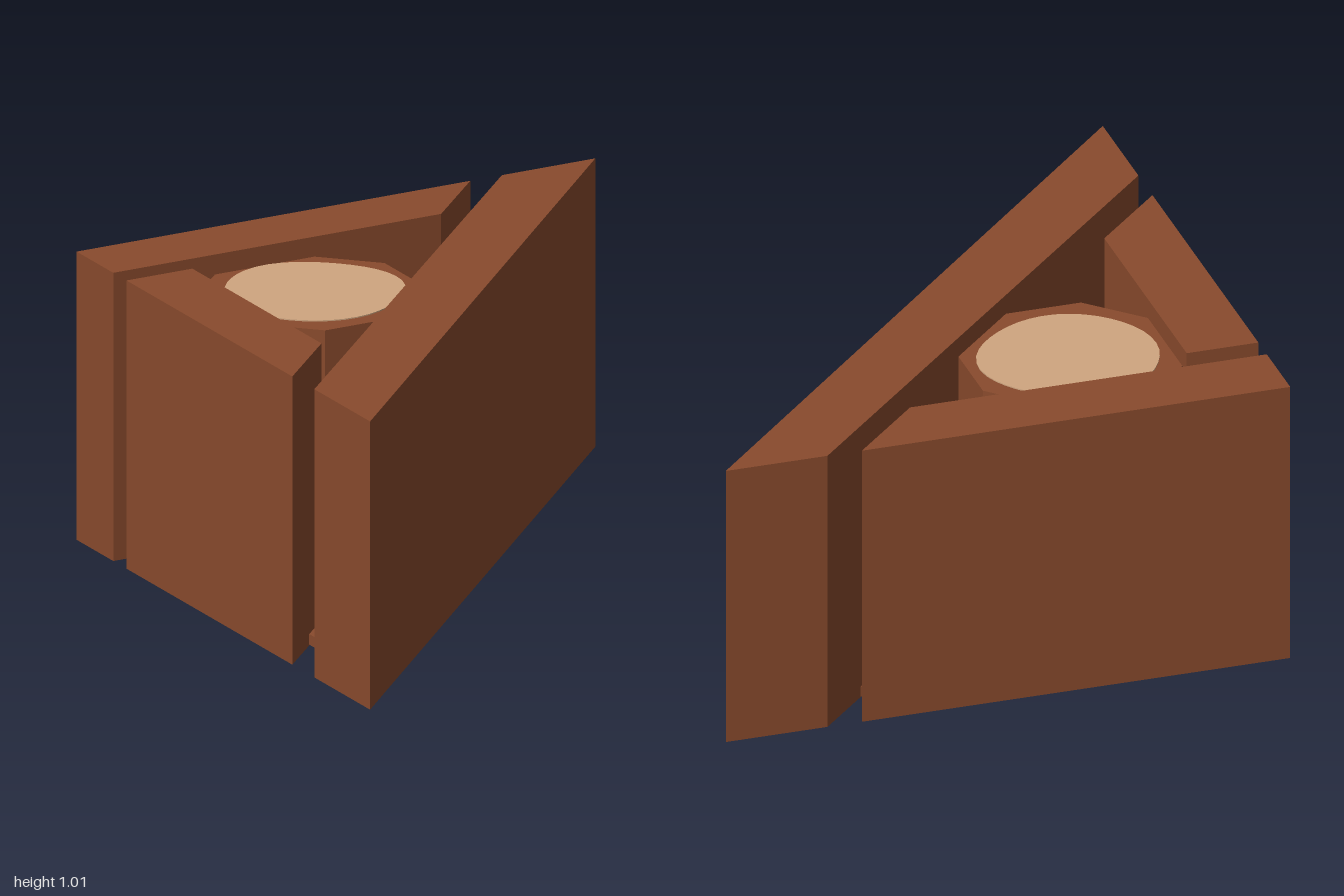
import * as THREE from 'three';

const brown = new THREE.MeshStandardMaterial({ color: 0x8a4b2d });
brown.name = 'brown bark';
const cream = new THREE.MeshStandardMaterial({ color: 0xd0a680 });
cream.name = 'cream cut wood';

const HEIGHT = 1.01;
const LOG_TOP = 0.94;

// Upright prism over a plan outline of [x, z] corners
function prism(name, outline, y0, y1) {
  const shape = new THREE.Shape(outline.map(([x, z]) => new THREE.Vector2(x, -z)));
  const geometry = new THREE.ExtrudeGeometry(shape, { depth: y1 - y0, bevelEnabled: false });
  geometry.rotateX(-Math.PI / 2).translate(0, y0, 0);
  const mesh = new THREE.Mesh(geometry, brown);
  mesh.name = name;
  return mesh;
}

export function createModel() {
  const group = new THREE.Group();
  group.name = 'triangularPlanter';

  // Three walls with open gaps at the corners
  group.add(
    prism('diagonalWall', [[-0.985, 1], [0.985, -1], [0.63, -1], [-0.985, 0.62]], 0, HEIGHT),
    prism('backWall', [[-0.985, -1], [-0.985, -0.75], [0.26, -0.75], [0.51, -1]], 0, HEIGHT),
    prism('sideWall', [[-0.985, -0.66], [-0.985, 0.47], [-0.735, 0.22], [-0.735, -0.66]], 0, HEIGHT),
    // Thin floor joining the walls
    prism('floor', [[-0.84, -0.83], [-0.84, 0.47], [0.46, -0.83]], 0.003, 0.04)
  );

  // Octagonal log standing between the walls
  const radius = 0.36 / Math.cos(Math.PI / 8);
  const log = new THREE.CylinderGeometry(radius, radius, LOG_TOP, 8).toNonIndexed();
  log.computeVertexNormals();
  log.rotateY(Math.PI / 8).translate(-0.41, LOG_TOP / 2, -0.43);
  const logMesh = new THREE.Mesh(log, brown);
  logMesh.name = 'log';
  group.add(logMesh);

  // Pale cut face on the log, slightly uneven
  const rim = [];
  for (let i = 0; i < 40; i++) {
    const a = (i / 40) * Math.PI * 2;
    const r = 0.303 + 0.006 * Math.sin(3 * a + 1) + 0.005 * Math.cos(4 * a);
    rim.push([-0.4 + r * Math.cos(a), -0.435 + r * Math.sin(a)]);
  }
  const cut = prism('logCutFace', rim, LOG_TOP - 0.002, LOG_TOP + 0.004);
  cut.material = cream;
  group.add(cut);

  return group;
}
